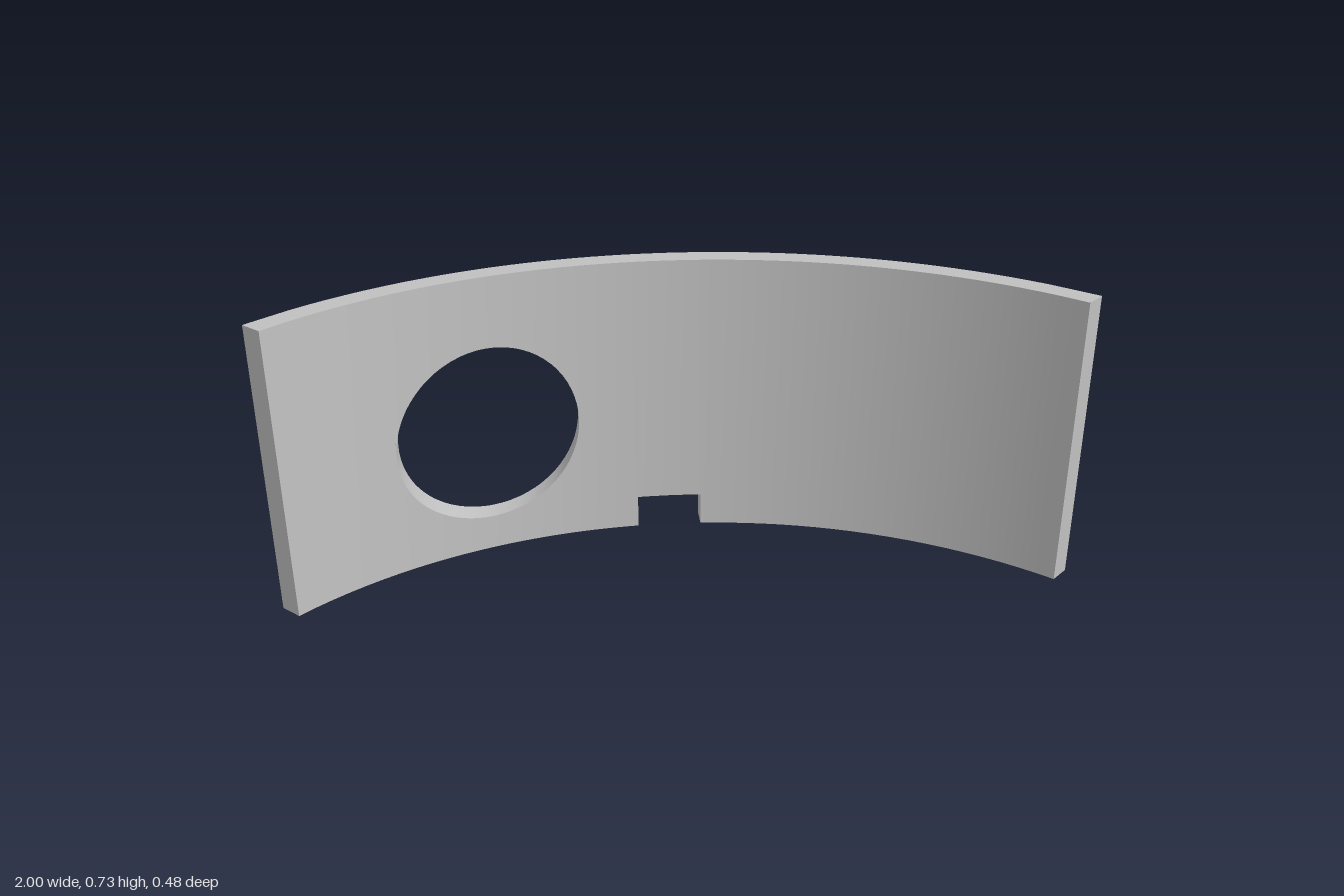
import * as THREE from 'three';
import { toCreasedNormals } from 'three/addons/utils/BufferGeometryUtils.js';

const H = 0.728, AXIS_Z = 1.174, WALL = 0.06;          // conical wall, quarter turn
const hole = { x: -0.462, y: 0.316, r: 0.228 };        // round opening cut straight along z
const notch = { half: 0.083, height: 0.083 };          // square notch in the lower edge

const outerRadius = y => 1.379 + (1.4142 - 1.379) * y / H;

// Point on the outer or inner face; the end columns follow the slanted 45 degree edge
function point(x, y, inner) {
  const R = outerRadius(y) - (inner ? WALL : 0);
  const px = Math.abs(x) >= 1 ? Math.sign(x) * R * Math.SQRT1_2 : x;
  return [px, y, AXIS_Z - Math.sqrt(R * R - px * px)];
}

function createWallGeometry() {
  const positions = [];
  const quad = (a, b, c, d) => positions.push(...a, ...b, ...c, ...a, ...c, ...d);

  // Column positions: even steps, hole outline and notch sides
  const xs = [-1, 1, -notch.half, notch.half];
  for (let i = -20; i <= 20; i++) xs.push(1.4 * Math.sin(i / 20 * 0.7));
  for (let i = 0; i <= 32; i++) xs.push(hole.x - hole.r * Math.cos(i / 32 * Math.PI));
  const columns = xs.sort((a, b) => a - b).filter((x, i) => i === 0 || x - xs[i - 1] > 1e-6);

  const holeHalf = x => Math.sqrt(Math.max(0, hole.r ** 2 - (x - hole.x) ** 2));

  // Solid band between two columns, with its lower and upper rims
  function band(x0, x1, low, high) {
    const corner = (x, f, inner) => point(x, f(x), inner);
    const [ia, ib, ic, id] = [[x0, low], [x1, low], [x1, high], [x0, high]].map(([x, f]) => corner(x, f, true));
    const [oa, ob, oc, od] = [[x0, low], [x1, low], [x1, high], [x0, high]].map(([x, f]) => corner(x, f, false));
    quad(ia, ib, ic, id);
    quad(ob, oa, od, oc);
    quad(id, ic, oc, od);
    quad(ib, ia, oa, ob);
  }

  for (let i = 0; i < columns.length - 1; i++) {
    const x0 = columns[i], x1 = columns[i + 1], mid = (x0 + x1) / 2;
    const floor = () => 0, top = () => H;
    if (Math.abs(mid - hole.x) < hole.r) {
      band(x0, x1, floor, x => hole.y - holeHalf(x));
      band(x0, x1, x => hole.y + holeHalf(x), top);
    } else {
      band(x0, x1, Math.abs(mid) < notch.half ? () => notch.height : floor, top);
    }
  }

  // Flat side faces: wall ends and notch sides
  function side(x, y1, facing) {
    const c = [point(x, 0, true), point(x, 0, false), point(x, y1, false), point(x, y1, true)];
    quad(...(facing > 0 ? c : c.reverse()));
  }
  for (const s of [-1, 1]) {
    side(s, H, s);
    side(s * notch.half, notch.height, -s);
  }

  const geometry = new THREE.BufferGeometry();
  geometry.setAttribute('position', new THREE.Float32BufferAttribute(positions, 3));
  return toCreasedNormals(geometry, 0.5);
}

export function createModel() {
  const grey = new THREE.MeshStandardMaterial({ color: 0xc0c0c0 });
  grey.name = 'grey';
  const wall = new THREE.Mesh(createWallGeometry(), grey);
  wall.name = 'curvedPanel';
  const model = new THREE.Group();
  model.name = 'curvedPanelWithOpening';
  model.add(wall);
  return model;
}
